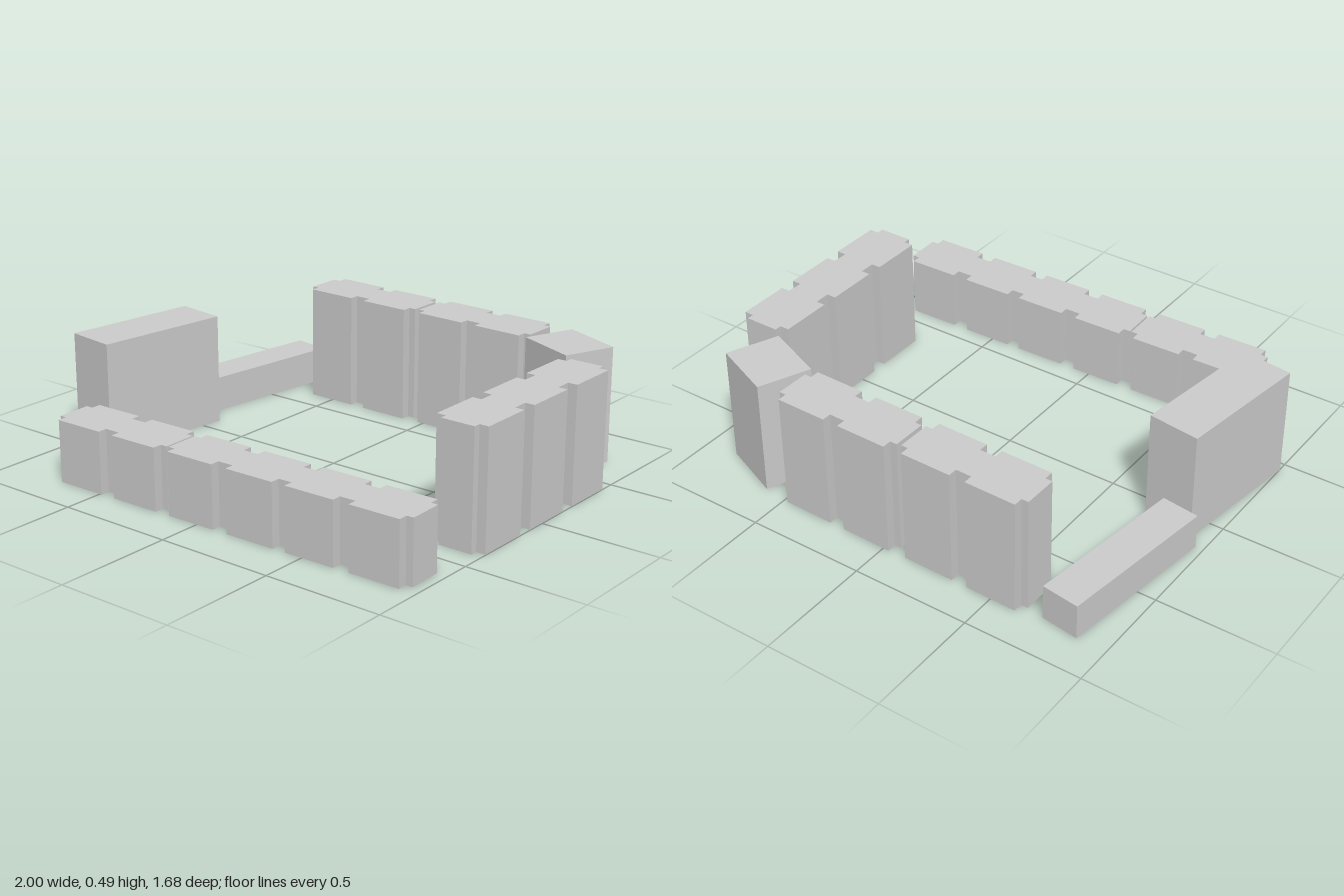
import * as THREE from 'three';

const material = new THREE.MeshStandardMaterial({ color: 0xcccccc, flatShading: true });
const TAB = 0.03, GAP = 0.068, HALF_DEPTH = 0.113, HALF_NECK = 0.073;

// Place a part on the ground, turned clockwise (seen from above) by deg
function place(geometry, name, x, z, deg) {
  const mesh = new THREE.Mesh(geometry, material);
  mesh.name = name;
  mesh.position.set(x, 0, z);
  mesh.rotation.y = -THREE.MathUtils.degToRad(deg);
  return mesh;
}

// Plain rectangular building
function plainBlock(name, w, h, d, x, z, deg) {
  return place(new THREE.BoxGeometry(w, h, d).translate(0, h / 2, 0), name, x, z, deg);
}

// Building with wide bays joined by narrow necks, and a short narrow tab at each end
function bayBlock(name, bays, bayWidth, h, x, z, deg) {
  const length = 2 * TAB + bays * bayWidth + (bays - 1) * GAP;
  const edge = [];
  let u = -length / 2;
  const step = (width, half) => {
    edge.push([u, half], [u + width, half]);
    u += width;
  };
  step(TAB, HALF_NECK);
  for (let i = 0; i < bays; i++) {
    step(bayWidth, HALF_DEPTH);
    step(i < bays - 1 ? GAP : TAB, HALF_NECK);
  }
  const outline = [
    ...edge.map(([a, b]) => new THREE.Vector2(a, -b)),
    ...edge.reverse().map(([a, b]) => new THREE.Vector2(a, b)),
  ];
  const geometry = new THREE.ExtrudeGeometry(new THREE.Shape(outline), { depth: h, bevelEnabled: false });
  geometry.rotateX(-Math.PI / 2);
  return place(geometry, name, x, z, deg);
}

export function createModel() {
  const model = new THREE.Group();
  model.name = 'courtyardBuildings';

  // Low front row
  [[-0.46, 0.715], [0.112, 0.702], [0.674, 0.689]].forEach(([x, z], i) =>
    model.add(bayBlock(`frontRowBlock${i + 1}`, 2, 0.218, 0.26, x, z, -1.2)));

  // Tall back row
  [[-0.358, -0.726], [0.227, -0.722]].forEach(([x, z], i) =>
    model.add(bayBlock(`backRowBlock${i + 1}`, 2, 0.22, 0.49, x, z, 0.9)));

  // Tall three-bay side building and the turned corner building
  model.add(bayBlock('leftSideBlock', 3, 0.225, 0.49, 0.884, -0.034, 90));
  model.add(plainBlock('cornerBlock', 0.278, 0.49, 0.23, 0.687, -0.656, 22.5));

  // Opposite side: tall slab in front, low slab behind
  model.add(plainBlock('tallSideSlab', 0.22, 0.47, 0.584, -0.853, 0.184, 7.7));
  model.add(plainBlock('lowSideSlab', 0.162, 0.15, 0.69, -0.84, -0.485, 7.6));

  return model;
}
